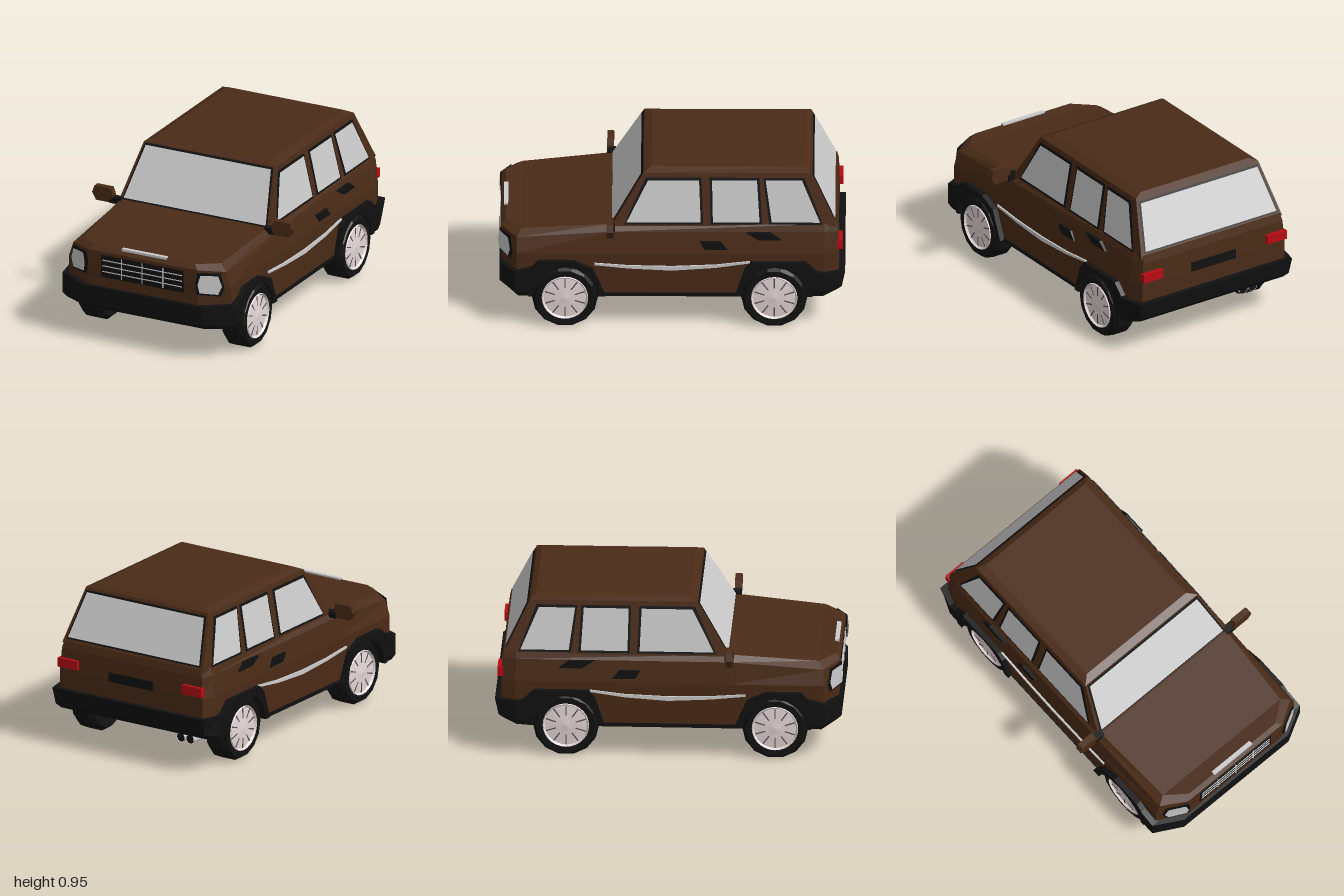
import * as THREE from 'three';

const mat = (color) => new THREE.MeshStandardMaterial({ color, flatShading: true, side: THREE.DoubleSide });
const BROWN = mat(0x4a2b17), BLACK = mat(0x111111), GREY = mat(0xcccccc);
const RED = mat(0xb80c12), RIM = mat(0xe6d8d8), SLOT = mat(0x5a5252);

export function createModel() {
  const car = new THREE.Group();
  car.name = 'stationWagon';

  const add = (name, geo, material, parent = car) => {
    const m = new THREE.Mesh(geo, material);
    m.name = name;
    parent.add(m);
    return m;
  };
  const box = (name, material, w, h, d, x, y, z, parent) => {
    const m = add(name, new THREE.BoxGeometry(w, h, d), material, parent);
    m.position.set(x, y, z);
    return m;
  };
  const fromTriangles = (pts) => {
    const g = new THREE.BufferGeometry();
    g.setAttribute('position', new THREE.Float32BufferAttribute(pts.flat(), 3));
    g.computeVertexNormals();
    return g;
  };

  // Stacked plan outlines: each ring lists its +x half from front to back
  const loft = (halves) => {
    const rings = halves.map((h) => [...h, ...[...h].reverse().map(([x, y, z]) => [-x, y, z])]);
    const n = rings[0].length, t = [];
    const quad = (a, b, c, d) => t.push(a, b, c, a, c, d);
    for (let k = 0; k + 1 < rings.length; k++) {
      for (let i = 0; i < n; i++) {
        const j = (i + 1) % n;
        quad(rings[k][i], rings[k][j], rings[k + 1][j], rings[k + 1][i]);
      }
    }
    const bot = rings[0], top = rings[rings.length - 1];
    for (let i = 0; i + 1 < n / 2; i++) {
      quad(top[i], top[i + 1], top[n - 2 - i], top[n - 1 - i]);
      quad(bot[n - 1 - i], bot[n - 2 - i], bot[i + 1], bot[i]);
    }
    return fromTriangles(t);
  };
  const level = (y, pts) => pts.map(([x, z]) => [x, y, z]);

  // Side profile in (z, y), extruded from x0 to x1
  const sideExtrude = (pts, x0, x1) => {
    const shape = new THREE.Shape(pts.map(([z, y]) => new THREE.Vector2(z, y)));
    const g = new THREE.ExtrudeGeometry(shape, { depth: x1 - x0, bevelEnabled: false });
    return g.rotateY(-Math.PI / 2).translate(x1, 0, 0);
  };
  const bothSides = (name, pts, x0, x1, material) => {
    add(name + 'Left', sideExtrude(pts, x0, x1), material);
    add(name + 'Right', sideExtrude(pts, -x1, -x0), material);
  };

  // Flat polygon with a dark surround; place(u, v, lift) maps it onto a surface
  const panel = (name, pts, place, material, border = 0.014) => {
    const cu = pts.reduce((s, p) => s + p[0], 0) / pts.length;
    const cv = pts.reduce((s, p) => s + p[1], 0) / pts.length;
    const fan = (grow, lift) => {
      const p = pts.map(([u, v]) => place(u + Math.sign(u - cu) * grow, v + Math.sign(v - cv) * grow, lift));
      const t = [];
      for (let i = 1; i + 1 < p.length; i++) t.push(p[0], p[i], p[i + 1]);
      return fromTriangles(t);
    };
    add(name + 'Frame', fan(border, 0.004), BLACK);
    add(name, fan(0, 0.009), material);
  };

  // Wheel arch points, front to back, over an axle
  const FRONT = 0.62, REAR = -0.59, AXLE = 0.19;
  const arch = (zc, r) => Array.from({ length: 9 }, (_, i) => {
    const a = (i / 8) * Math.PI;
    return [zc + r * Math.cos(a), AXLE + 0.01 + r * Math.sin(a)];
  });

  // Lower body with wheel openings
  add('lowerBody', sideExtrude([
    [0.89, 0.42], [0.89, 0.2], ...arch(FRONT, 0.2), ...arch(REAR, 0.2), [-0.88, 0.2], [-0.88, 0.42],
  ], -0.53, 0.53), BROWN);
  add('nose', loft([0.33, 0.42].map((y) => level(y, [[0.36, 0.985], [0.53, 0.9], [0.53, 0.83]]))), BROWN);
  add('tail', loft([0.33, 0.42].map((y) => level(y, [[0.53, -0.82], [0.53, -0.88], [0.5, -0.965]]))), BROWN);

  // Upper body and bonnet
  add('upperBody', loft([
    level(0.4, [[0.36, 0.985], [0.53, 0.9], [0.53, 0.36], [0.53, -0.88], [0.5, -0.965]]),
    level(0.46, [[0.36, 0.99], [0.53, 0.9], [0.53, 0.36], [0.53, -0.88], [0.5, -0.965]]),
    [[0.36, 0.565, 0.99], [0.5, 0.55, 0.9], [0.51, 0.59, 0.36], [0.51, 0.59, -0.88], [0.49, 0.59, -0.96]],
    [[0.33, 0.59, 0.965], [0.45, 0.585, 0.87], [0.48, 0.627, 0.36], [0.495, 0.635, -0.88], [0.48, 0.635, -0.95]],
  ]), BROWN);

  // Cabin and roof
  add('cabin', loft([
    [[0.495, 0.62, 0.35], [0.495, 0.62, -0.95]],
    [[0.43, 0.93, 0.165], [0.43, 0.93, -0.8]],
    [[0.38, 0.952, 0.12], [0.38, 0.948, -0.77]],
  ]), BROWN);

  // Glass
  const rise = (y) => (y - 0.62) / 0.31;
  const sideWindows = {
    frontWindow: [[0.265, 0.645], [0.14, 0.89], [-0.155, 0.89], [-0.165, 0.645]],
    middleWindow: [[-0.235, 0.645], [-0.23, 0.89], [-0.49, 0.89], [-0.505, 0.645]],
    rearSideWindow: [[-0.575, 0.645], [-0.54, 0.89], [-0.75, 0.89], [-0.855, 0.645]],
  };
  for (const s of [1, -1]) {
    const side = s > 0 ? 'Left' : 'Right';
    for (const [name, pts] of Object.entries(sideWindows)) {
      panel(name + side, pts, (z, y, l) => [s * (0.495 - 0.065 * rise(y) + l), y, z], GREY);
    }
    // Headlights on the angled front corners
    panel('headlight' + side, [[0.37, 0.43], [0.36, 0.48], [0.375, 0.54], [0.465, 0.535], [0.485, 0.47], [0.465, 0.42]],
      (x, y, l) => [s * (x + l), y, 0.994 - Math.max(0, x - 0.36) * 0.55 + l * 1.5], GREY);
    box('tailLight' + side, RED, 0.135, 0.055, 0.035, s * 0.435, 0.507, -0.969);
  }
  panel('windscreen', [[-0.465, 0.637], [0.465, 0.637], [0.41, 0.918], [-0.41, 0.918]],
    (x, y, l) => [x, y, 0.35 - 0.185 * rise(y) + l], GREY, 0.01);
  panel('rearWindow', [[-0.46, 0.655], [0.46, 0.655], [0.41, 0.905], [-0.41, 0.905]],
    (x, y, l) => [x, y, -0.95 + 0.15 * rise(y) - l], GREY, 0.01);

  // Grille
  box('grille', BLACK, 0.54, 0.135, 0.02, 0, 0.478, 0.983);
  for (const y of [0.445, 0.48, 0.515]) box('grilleBar', GREY, 0.52, 0.005, 0.006, 0, y, 0.994);
  for (const x of [-0.135, 0, 0.135]) box('grillePost', GREY, 0.006, 0.125, 0.006, x, 0.478, 0.994);
  box('bonnetTrim', GREY, 0.29, 0.014, 0.025, 0, 0.592, 0.962);
  box('platePanel', BLACK, 0.31, 0.055, 0.02, 0, 0.478, -0.962);

  // Bumpers
  add('frontBumper', loft([
    level(0.2, [[0.39, 0.97], [0.55, 0.89], [0.55, 0.815]]),
    level(0.23, [[0.4, 1], [0.565, 0.91], [0.565, 0.815]]),
    [[0.4, 0.345, 1], [0.565, 0.355, 0.91], [0.565, 0.38, 0.81]],
  ]), BLACK);
  add('rearBumper', loft([
    [[0.55, 0.2, -0.79], [0.55, 0.2, -0.87], [0.5, 0.22, -0.95]],
    [[0.56, 0.23, -0.79], [0.56, 0.23, -0.88], [0.52, 0.25, -0.98]],
    [[0.56, 0.36, -0.79], [0.56, 0.345, -0.88], [0.53, 0.35, -1]],
  ]), BLACK);

  // Wheel arch flares, sills and underside
  bothSides('frontFlare', [
    [0.83, 0.2], [0.83, 0.36], [0.77, 0.42], [0.57, 0.42], [0.46, 0.37], [0.385, 0.2], ...arch(FRONT, 0.185).reverse(),
  ], 0.49, 0.562, BLACK);
  bothSides('rearFlare', [
    [-0.81, 0.2], [-0.84, 0.35], [-0.77, 0.415], [-0.46, 0.415], [-0.42, 0.37], [-0.365, 0.2], ...arch(REAR, 0.185),
  ], 0.49, 0.56, BLACK);
  box('sill', BLACK, 1.07, 0.022, 0.8, 0, 0.201, 0.015);
  box('underside', BLACK, 0.74, 0.2, 1.76, 0, 0.297, 0);

  // Side trim and door handles
  const trim = [[0.45, 0.402], [0.25, 0.387], [0, 0.382], [-0.25, 0.392], [-0.45, 0.415]];
  bothSides('sideTrim', [...trim, ...[...trim].reverse().map(([z, y]) => [z, y - 0.012 - 0.014 * (1 - Math.abs(z) / 0.45)])],
    0.52, 0.54, GREY);
  bothSides('frontHandle', [[-0.16, 0.535], [-0.28, 0.535], [-0.32, 0.485], [-0.19, 0.485]], 0.49, 0.533, BLACK);
  bothSides('rearHandle', [[-0.43, 0.59], [-0.57, 0.59], [-0.63, 0.545], [-0.5, 0.545]], 0.49, 0.53, BLACK);

  // Door mirrors
  for (const s of [1, -1]) {
    const outline = [[0.53, 0.605], [0.63, 0.605], [0.655, 0.65], [0.64, 0.692], [0.535, 0.692], [0.52, 0.65]];
    const shape = new THREE.Shape(outline.map(([x, y]) => new THREE.Vector2(s * x, y)));
    const g = new THREE.ExtrudeGeometry(shape, { depth: 0.04, bevelEnabled: false }).translate(0, 0, 0.34);
    add('mirror' + (s > 0 ? 'Left' : 'Right'), g, BROWN);
    box('mirrorBracket', BLACK, 0.07, 0.035, 0.05, s * 0.505, 0.62, 0.355);
  }

  // Wheels: faceted tyre, dished rim and radial slots
  const lathe = (pts, n) => new THREE.LatheGeometry(pts.map(([r, h]) => new THREE.Vector2(r, h)), n).rotateZ(-Math.PI / 2);
  const tyre = [[0, -0.06], [0.13, -0.065], [0.17, -0.075], [0.192, -0.05], [0.192, 0.045], [0.172, 0.075], [0.133, 0.072], [0.125, 0.03], [0, 0.03]];
  const rim = [[0.137, 0.068], [0.131, 0.079], [0.122, 0.066], [0.035, 0.072], [0, 0.076]];
  for (const [end, z] of [['front', FRONT], ['rear', REAR]]) {
    for (const s of [1, -1]) {
      const wheel = new THREE.Group();
      wheel.name = end + 'Wheel' + (s > 0 ? 'Left' : 'Right');
      wheel.position.set(s > 0 ? 0.485 : -0.455, AXLE, z);
      wheel.rotation.y = s > 0 ? 0 : Math.PI;
      add('tyre', lathe(tyre, 14), BLACK, wheel);
      add('rim', lathe(rim, 28), RIM, wheel);
      for (let i = 0; i < 10; i++) {
        const a = (i / 10) * Math.PI * 2;
        const slot = box('rimSlot', SLOT, 0.006, 0.06, 0.007, 0.0675, 0.09 * Math.cos(a), 0.09 * Math.sin(a), wheel);
        slot.rotation.x = a;
      }
      car.add(wheel);
    }
  }

  // Twin exhaust
  for (const i of [0, 1]) {
    const x = -0.28 - i * 0.065;
    const path = new THREE.CatmullRomCurve3([
      [-0.15 - i * 0.02, 0.2, -0.64 - i * 0.05], [x + 0.07, 0.175, -0.71], [x, 0.165, -0.78], [x, 0.165, -0.87],
    ].map((p) => new THREE.Vector3(...p)));
    add('exhaustPipe', new THREE.TubeGeometry(path, 16, 0.028, 10), GREY);
    const bore = add('exhaustBore', new THREE.CircleGeometry(0.027, 10), BLACK);
    bore.position.set(x, 0.165, -0.866);
  }
  return car;
}
